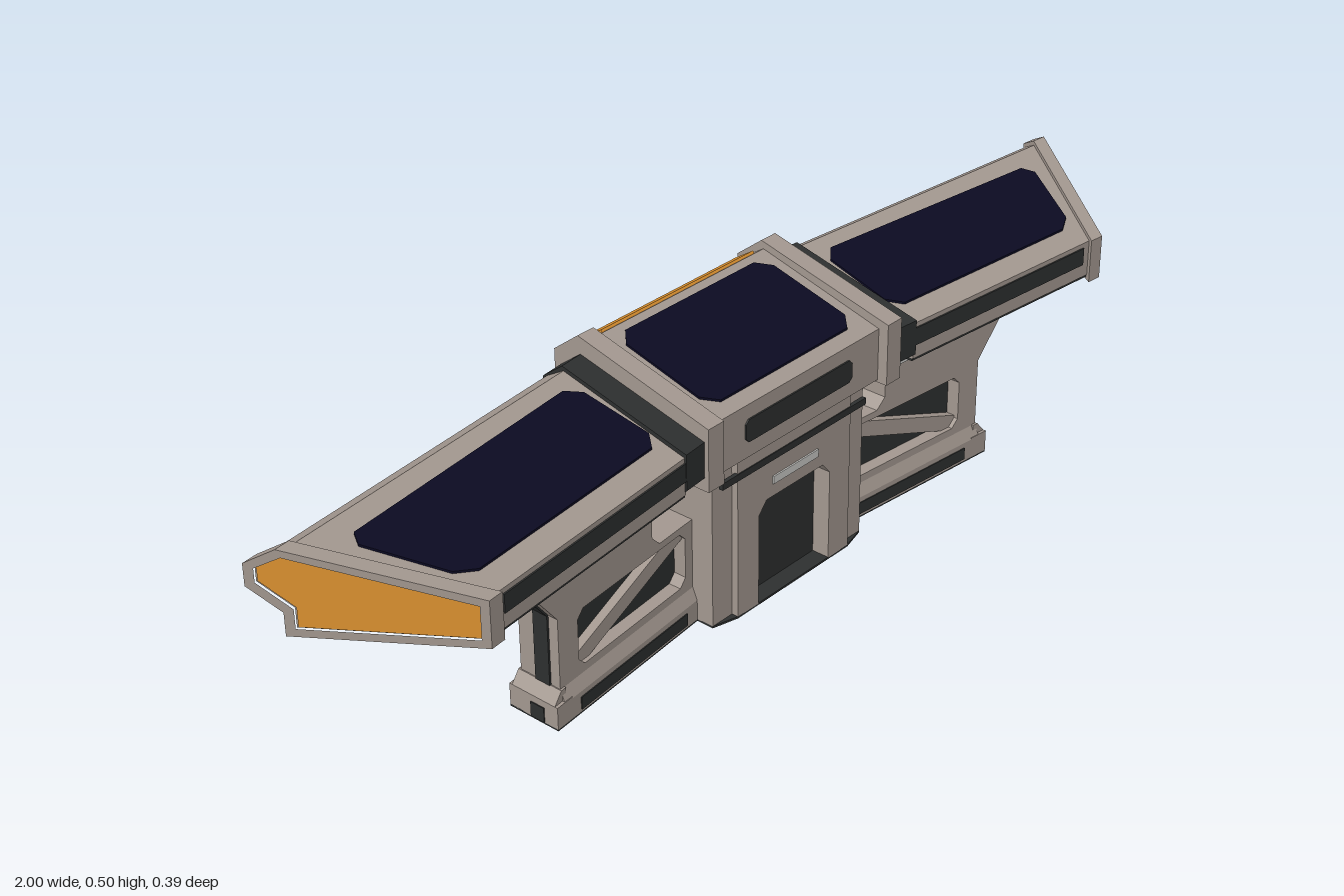
import * as THREE from 'three';

const mat = (name, color) => Object.assign(new THREE.MeshStandardMaterial({ color }), { name });
const lerp = THREE.MathUtils.lerp;

// Mapping rules from (a, b, t) of a prism to x, y, z. Profiles use u = -z.
const alongX = (x0, x1) => (u, v, t) => [lerp(x0(u), x1(u), t), v, -u];
const alongZ = (z0, z1) => (x, y, t) => [x, y, lerp(z0, z1, t)];
const alongY = (y0, h) => (x, u, t) => [x, y0(u) + h * t, -u];
const at = (c) => () => c;
// Wings and their supports sweep forward away from the centre.
const swept = (map) => (a, b, t) => {
  const [x, y, z] = map(a, b, t);
  return [x, y, z + 0.1 * (x - 0.3)];
};

function prism(points, map, hole) {
  const toV = (pts) => pts.map(([a, b]) => new THREE.Vector2(a, b));
  const shape = new THREE.Shape(toV(points));
  if (hole) shape.holes.push(new THREE.Path(toV(hole)));
  const geo = new THREE.ExtrudeGeometry(shape, { depth: 1, bevelEnabled: false });
  const p = geo.attributes.position;
  for (let i = 0; i < p.count; i++) p.setXYZ(i, ...map(p.getX(i), p.getY(i), p.getZ(i)));
  geo.computeVertexNormals();
  return geo;
}

function mirrored(source) {
  const geo = source.clone();
  const p = geo.attributes.position, q = source.attributes.position;
  for (let i = 0; i < p.count; i++) {
    const j = i % 3 === 0 ? i : i % 3 === 1 ? i + 1 : i - 1;
    p.setXYZ(i, -q.getX(j), q.getY(j), q.getZ(j));
  }
  geo.computeVertexNormals();
  return geo;
}

const rect = (x0, y0, x1, y1) => [[x0, y0], [x1, y0], [x1, y1], [x0, y1]];

// Cuts every corner of a polygon by a distance c.
function clipped(pts, c) {
  const out = [];
  pts.forEach(([x, y], i) => {
    for (const k of [pts.length - 1, 1]) {
      const [nx, ny] = pts[(i + k) % pts.length];
      const f = c / Math.hypot(nx - x, ny - y);
      out.push([x + (nx - x) * f, y + (ny - y) * f]);
    }
  });
  return out;
}

export function createModel() {
  const body = mat('warm grey panel', 0xa2978f);
  const dark = mat('dark panel', 0x2d2f2f);
  const screenMat = mat('navy screen', 0x0b0a22);
  const orange = mat('orange panel', 0xdb9130);
  const light = mat('light trim', 0xc9c9c6);

  const root = new THREE.Group();
  root.name = 'console';
  const add = (name, geo, material) => {
    const m = new THREE.Mesh(geo, material);
    m.name = name;
    root.add(m);
  };
  const pair = (name, geo, material) => {
    add(name + 'Left', geo, material);
    add(name + 'Right', mirrored(geo), material);
  };

  // Central console and its back strip
  add('centreConsole', prism([[-0.125, 0.315], [0.14, 0.315], [0.14, 0.36], [0.185, 0.398],
    [0.185, 0.452], [0.135, 0.485], [-0.125, 0.415]], alongX(at(-0.22), at(0.22))), body);
  add('centreScreen', prism(clipped(rect(-0.19, -0.095, 0.19, 0.115), 0.025),
    alongY((u) => 0.415 + 0.269 * (u + 0.125), 0.004)), screenMat);
  add('centreFrontSlot', prism(clipped(rect(-0.14, 0.345, 0.14, 0.388), 0.008), alongZ(0.122, 0.128)), dark);
  add('backStrip', prism([[0.139, 0.4824], [0.18, 0.4553], [0.183, 0.4595], [0.142, 0.4866]],
    alongX(at(-0.195), at(0.195))), orange);

  // Raised ribs and dark collars joining the wings
  pair('rib', prism([[-0.145, 0.31], [0.145, 0.31], [0.145, 0.35], [0.195, 0.395],
    [0.195, 0.457], [0.14, 0.5], [-0.145, 0.428]], alongX(at(0.215), at(0.253))), body);
  pair('collar', prism([[-0.141, 0.335], [-0.141, 0.402], [0.13, 0.467], [0.175, 0.433],
    [0.175, 0.39], [0.13, 0.35], [0.13, 0.318], [-0.12, 0.318]],
  swept(alongX(at(0.25), at(0.302)))), dark);

  // Wings, cut at an angle at their outer ends
  const end = (d) => (u) => 0.8775 + 0.64 * u + d;
  pair('wing', prism([[-0.137, 0.325], [-0.137, 0.395], [0.127, 0.459], [0.166, 0.436],
    [0.166, 0.403], [0.118, 0.36], [0.118, 0.325]], swept(alongX(at(0.3), end(0)))), body);
  pair('wingUnderside', prism([[0.3, -0.135], [0.78, -0.135], [0.942, 0.116], [0.3, 0.116]],
    swept(alongY(at(0.32), 0.006))), dark);
  pair('wingScreen', prism(clipped([[0.305, -0.09], [0.78, -0.09], [0.875, 0.083], [0.32, 0.092]], 0.025),
    swept(alongY((u) => 0.395 + 0.2424 * (u + 0.137), 0.004))), screenMat);
  pair('wingFrontSlot', prism(rect(0.302, 0.352, 0.755, 0.386), swept(alongZ(0.134, 0.14))), dark);

  // End caps: grey rim around an orange panel
  const cap = [[-0.147, 0.315], [-0.147, 0.4], [0.129, 0.467], [0.174, 0.44],
    [0.174, 0.4], [0.126, 0.357], [0.126, 0.315]];
  const inner = [[-0.134, 0.329], [-0.134, 0.389], [0.123, 0.453], [0.16, 0.432],
    [0.16, 0.407], [0.112, 0.364], [0.112, 0.329]];
  pair('endRim', prism(cap, swept(alongX(end(-0.018), end(0.012))), inner), body);
  pair('endPanel', prism(inner, swept(alongX(end(-0.002), end(0.006)))), orange);

  // Central pillar, leaning back towards the top
  const lean = (u, t) => u + (u > 0.07 ? 0.02 * t : 0);
  add('pillar', prism([[-0.2, -0.079], [0.2, -0.079], [0.2, 0.08], [0.15, 0.105], [-0.15, 0.105], [-0.2, 0.08]],
    (x, u, t) => [x, 0.003 + 0.313 * t, -lean(u, t)]), body);
  const doorway = (w) => [[-w, 0.003], [-0.095, 0.003], [-0.095, 0.18], [-0.075, 0.203], [0.075, 0.203],
    [0.095, 0.18], [0.095, 0.003], [w, 0.003], [w, 0.31], [-w, 0.31]];
  add('doorFrame', prism(doorway(0.2), alongZ(0.078, 0.105)), body);
  add('doorFrameFront', prism(doorway(0.15), alongZ(0.104, 0.118)), body);
  add('door', prism(rect(-0.095, 0.003, 0.095, 0.203), alongZ(0.077, 0.083)), dark);
  add('doorTrim', prism(rect(-0.06, 0.228, 0.06, 0.243), alongZ(0.116, 0.121)), light);
  add('pillarGroove', prism(rect(-0.19, 0.275, 0.19, 0.288), alongZ(0.112, 0.12)), dark);
  add('backPanel', prism(clipped(rect(-0.1, 0.045, 0.1, 0.29), 0.025),
    (x, y, t) => [x, y, -0.105 - (0.02 * y) / 0.313 - 0.005 + 0.007 * t]), dark);
  add('pillarBase', prism([[-0.2, -0.105], [-0.15, -0.118], [0.15, -0.118], [0.2, -0.105],
    [0.2, 0.08], [0.15, 0.105], [-0.15, 0.105], [-0.2, 0.08]], alongY(at(0), 0.004)), dark);
  pair('pillarSideSlot', prism(rect(0.197, 0.025, 0.203, 0.036), alongY(at(0.065), 0.235)), dark);

  // Supports under the wings: foot, frame, panel and brace
  pair('foot', prism([[-0.08, 0.003], [0.028, 0.003], [0.028, 0.042], [0.02, 0.065],
    [-0.07, 0.065], [-0.08, 0.042]], swept(alongX(at(0.19), at(0.56)))), body);
  pair('footEnd', prism(rect(0.54, -0.08, 0.58, 0.028),
    swept((x, u, t) => [x, 0.003 + 0.042 * t, -u])), body);
  pair('footEndSlope', prism([[0.55, 0.045], [0.58, 0.045], [0.562, 0.066], [0.55, 0.066]],
    swept(alongZ(-0.022, 0.074))), body);
  pair('footBase', prism(rect(0.19, -0.08, 0.58, 0.028), swept(alongY(at(0), 0.004))), dark);
  pair('footEndSlot', prism(rect(0.577, 0.004, 0.582, 0.032), swept(alongZ(0.02, 0.05))), dark);
  pair('supportFrame', prism([[0.19, 0.06], [0.56, 0.06], [0.56, 0.2], [0.66, 0.326], [0.31, 0.326],
    [0.31, 0.22], [0.29, 0.2], [0.19, 0.2]], swept(alongZ(-0.018, 0.07)),
  clipped(rect(0.22, 0.08, 0.51, 0.187), 0.015)), body);
  pair('supportPanel', prism(rect(0.215, 0.075, 0.515, 0.19), swept(alongZ(0.005, 0.045))), dark);
  pair('supportBrace', prism([[0.215, 0.17], [0.48, 0.078], [0.515, 0.078], [0.515, 0.098], [0.25, 0.19],
    [0.215, 0.19]], swept(alongZ(-0.01, 0.062))), body);
  pair('legStrip', prism([[0.558, 0.066], [0.564, 0.066], [0.564, 0.2], [0.664, 0.325], [0.658, 0.325],
    [0.558, 0.2]], swept(alongZ(0.018, 0.05))), dark);

  // Slots and light trims on the front and back of each support
  for (const [side, zFoot, zTrim] of [['front', 0.078, 0.068], ['back', -0.03, -0.022]]) {
    pair(side + 'FootSlot', prism(rect(0.23, 0.008, 0.52, 0.032), swept(alongZ(zFoot, zFoot + 0.004))), dark);
    pair(side + 'SupportTrim', prism([[0.315, 0.276], [0.565, 0.276], [0.58, 0.293], [0.315, 0.293]],
      swept(alongZ(zTrim, zTrim + 0.006))), light);
  }
  return root;
}
